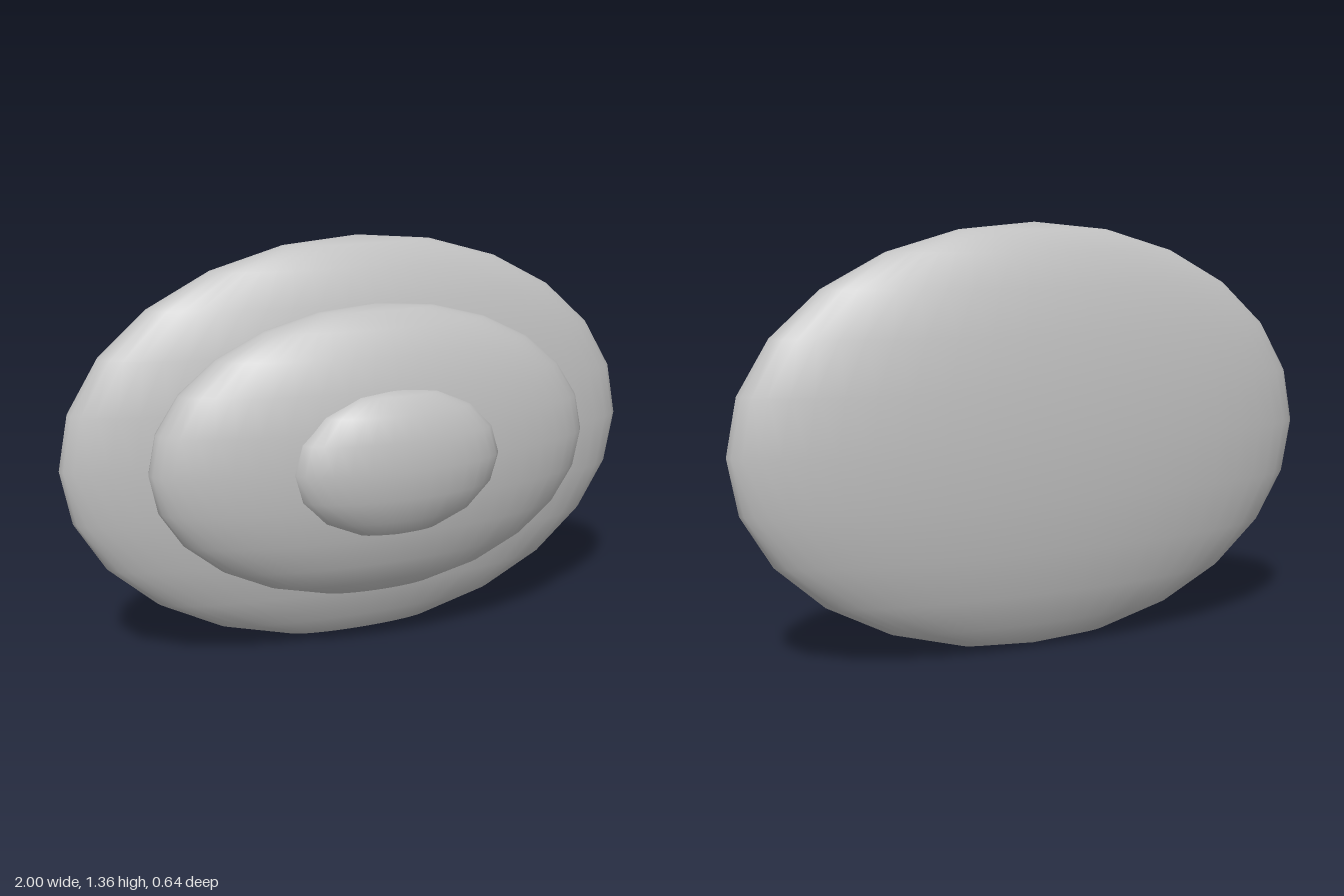
import * as THREE from 'three';

export function createModel() {
  const group = new THREE.Group();
  const grey = new THREE.MeshStandardMaterial({ color: 0xc0c0c0 });
  grey.name = 'lightGrey';

  // Flattened ellipsoid centred at mid height, poles up and down
  const addDisc = (name, radii, z, around, rows) => {
    const geometry = new THREE.SphereGeometry(1, around, rows);
    geometry.scale(...radii);
    const mesh = new THREE.Mesh(geometry, grey);
    mesh.name = name;
    mesh.position.set(0, 0.68, z);
    group.add(mesh);
  };

  addDisc('baseDisc', [1, 0.68, 0.2], -0.12, 48, 12);
  addDisc('middleDisc', [0.76, 0.48, 0.2], 0.04, 48, 12);
  addDisc('frontBoss', [0.355, 0.24, 0.12], 0.2, 32, 8);

  return group;
}
